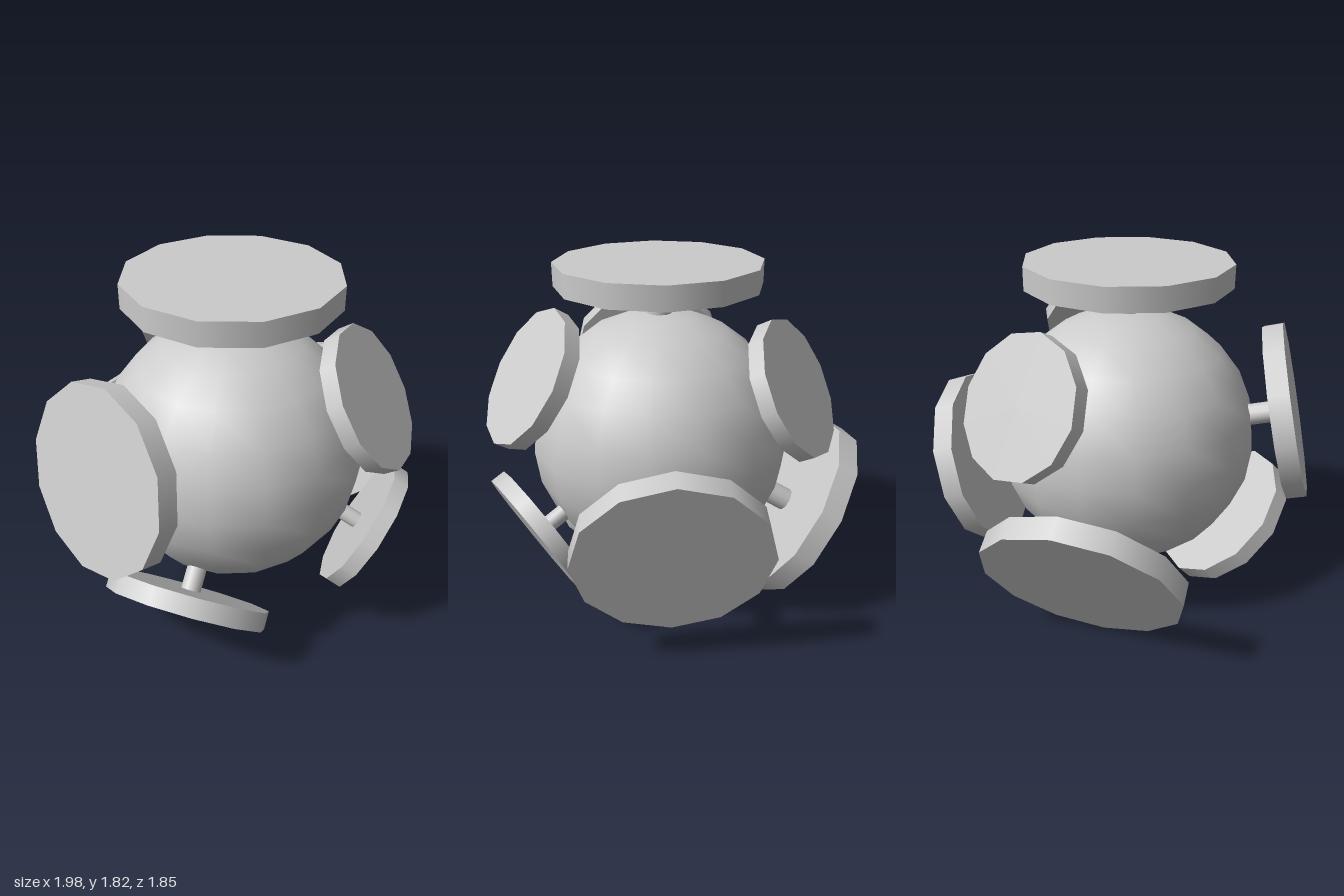
import * as THREE from 'three';

const CENTER = new THREE.Vector3(-0.018, 0.917, 0.095);
const CORE_RADIUS = 0.67;

// outward direction and disc radius of every knob
const KNOBS = [
  ['topKnob', [0, 1, 0], 0.515],
  ['rightFrontKnob', [-0.69, 0.195, 0.42], 0.443],
  ['leftUpperFrontKnob', [0.55, 0.435, 0.42], 0.348],
  ['leftLowerFrontKnob', [0.61, -0.365, 0.38], 0.35],
  ['lowerFrontKnob', [-0.34, -0.585, 0.465], 0.41],
  ['leftBackKnob', [0.71, -0.235, -0.415], 0.47],
  ['upperBackKnob', [0, 0.37, -0.71], 0.347],
  ['lowerBackKnob', [-0.325, -0.44, -0.675], 0.503],
];

export function createModel() {
  const model = new THREE.Group();
  const material = new THREE.MeshStandardMaterial({ color: 0xcccccc });

  // round core
  const core = new THREE.Mesh(new THREE.SphereGeometry(CORE_RADIUS, 16, 12), material);
  core.name = 'core';
  core.position.copy(CENTER);
  model.add(core);

  // a knob is a short stem with a flat disc, all in proportion to the disc radius
  const up = new THREE.Vector3(0, 1, 0);
  for (const [name, direction, r] of KNOBS) {
    const knob = new THREE.Group();
    knob.name = name;
    knob.position.copy(CENTER);
    knob.quaternion.setFromUnitVectors(up, new THREE.Vector3(...direction).normalize());

    const thickness = 0.225 * r;
    const discBase = CORE_RADIUS + 0.255 * r;
    const stemStart = CORE_RADIUS - 0.1;

    const stem = new THREE.Mesh(
      new THREE.CylinderGeometry(0.122 * r, 0.122 * r, discBase - stemStart, 12), material);
    stem.name = 'stem';
    stem.position.y = (discBase + stemStart) / 2;

    const disc = new THREE.Mesh(new THREE.CylinderGeometry(r, r, thickness, 12), material);
    disc.name = 'disc';
    disc.position.y = discBase + thickness / 2;

    knob.add(stem, disc);
    model.add(knob);
  }
  return model;
}
